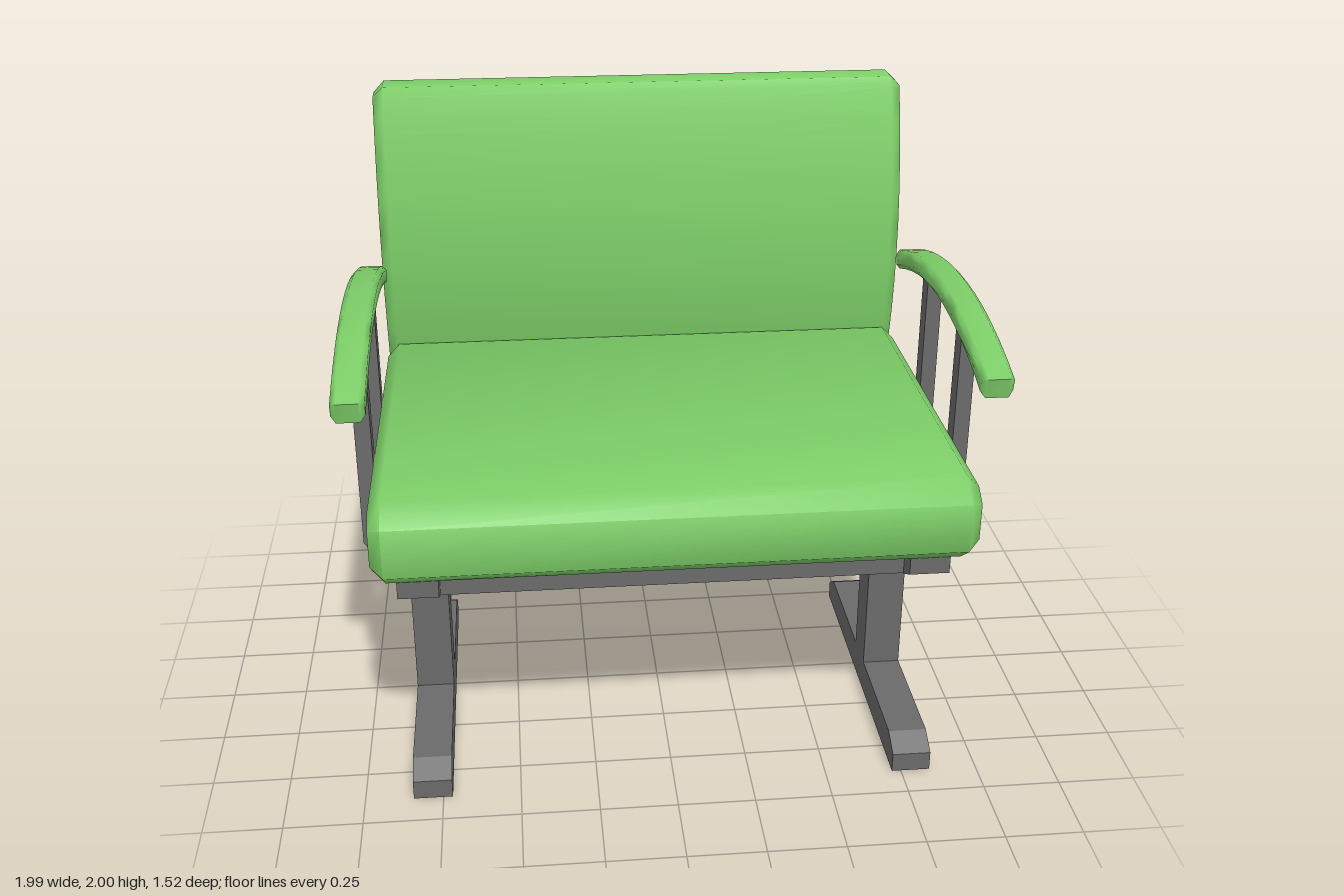
import * as THREE from 'three';
import { toCreasedNormals } from 'three/addons/utils/BufferGeometryUtils.js';

export function createModel() {
  const root = new THREE.Group();
  const green = new THREE.MeshStandardMaterial({ color: 0x7ed069 });
  green.name = 'green upholstery';
  const grey = new THREE.MeshStandardMaterial({ color: 0x6a6a6a });
  grey.name = 'grey metal';

  const add = (name, geometry, material) => {
    const mesh = new THREE.Mesh(geometry, material);
    mesh.name = name;
    root.add(mesh);
    return mesh;
  };

  const shapeOf = (points) => new THREE.Shape(points.map(([a, b]) => new THREE.Vector2(a, b)));

  // Extrudes a [z, y] side profile across x, between x0 and x1, with an optional bevelled rim
  const across = (points, x0, x1, bevel = 0, crease = 0) => {
    const depth = x1 - x0 - 2 * bevel;
    const geo = new THREE.ExtrudeGeometry(shapeOf(points), {
      depth, bevelEnabled: bevel > 0, bevelSize: bevel, bevelThickness: bevel,
      bevelOffset: -bevel, bevelSegments: 1,
    });
    geo.translate(0, 0, -depth / 2);
    geo.rotateY(-Math.PI / 2);
    geo.translate((x0 + x1) / 2, 0, 0);
    return crease ? toCreasedNormals(geo, crease) : geo;
  };

  const box = (name, x0, x1, y0, y1, z0, z1) => {
    const geo = new THREE.BoxGeometry(x1 - x0, y1 - y0, z1 - z0);
    geo.translate((x0 + x1) / 2, (y0 + y1) / 2, (z0 + z1) / 2);
    add(name, geo, grey);
  };

  // Seat cushion with softened edges
  add('seatCushion', across([
    [0.76, 0.89], [0.76, 1.05], [0.68, 1.105], [-0.52, 1.105],
    [-0.59, 1.05], [-0.59, 0.88], [-0.53, 0.83], [0.68, 0.83],
  ], -0.915, 0.915, 0.04, 1.05), green);

  // Curved backrest, bowed forward in the middle
  const steps = 10;
  const back = [];
  for (let i = 0; i <= steps; i++) {
    const t = i / steps * 2 - 1;
    back.push([-0.5 - 0.115 * t * t, 1.385 + 0.585 * t]);
  }
  back.push([-0.635, 2], [-0.74, 2]);
  for (let i = steps; i >= 0; i--) {
    const t = i / steps * 2 - 1;
    back.push([-0.635 - 0.122 * t * t, 1.385 + 0.585 * t]);
  }
  back.push([-0.74, 0.77], [-0.645, 0.77]);
  add('backrest', across(back, -0.915, 0.915, 0.035, 1.05), green);

  // Arched armrests
  const arm = [];
  for (let i = 0; i <= 12; i++) {
    const t = i / 6 - 1;
    arm.push([0.105 + 0.575 * t, 1.52 - 0.1 * t * t]);
  }
  for (let i = 12; i >= 0; i--) {
    const t = i / 6 - 1;
    arm.push([0.105 + 0.56 * t, 1.455 - 0.1 * t * t]);
  }
  const foot = [[0.64, 0], [0.64, 0.065], [0.565, 0.105], [-0.4, 0.105], [-0.47, 0.065], [-0.47, 0]];
  const bearer = [[0.675, 0.77], [0.675, 0.83], [-0.505, 0.83], [-0.505, 0.77], [-0.42, 0.73], [0.6, 0.73]];

  for (const [side, s] of [['left', 1], ['right', -1]]) {
    const span = (a, b) => (s > 0 ? [a, b] : [-b, -a]);
    add(side + 'Armrest', across(arm, ...span(0.895, 0.995), 0.015, 1.05), green);
    // Floor foot, upright and seat bearer
    add(side + 'Foot', across(foot, ...span(0.72, 0.845)), grey);
    box(side + 'Leg', ...span(0.72, 0.845), 0.1, 0.74, 0.02, 0.155);
    add(side + 'Bearer', across(bearer, ...span(0.72, 0.845)), grey);
  }

  // U-shaped straps running under the seat and up to the armrests
  const half = [[0.915, 1.455], [0.965, 1.455], [0.965, 0.79], [0.925, 0.73]];
  const strap = shapeOf([
    ...half, ...half.map(([x, y]) => [-x, y]).reverse(), [-0.915, 0.828], [0.915, 0.828],
  ]);
  for (const [name, z] of [['frontStrap', 0.29], ['rearStrap', -0.145]]) {
    const geo = new THREE.ExtrudeGeometry(strap, { depth: 0.065, bevelEnabled: false });
    geo.translate(0, 0, z);
    add(name, geo, grey);
  }

  // Cross rails between the bearers
  box('frontRail', -0.73, 0.73, 0.732, 0.829, 0.44, 0.6);
  box('middleRail', -0.73, 0.73, 0.732, 0.829, -0.09, 0.03);
  box('rearRail', -0.73, 0.73, 0.732, 0.829, -0.42, -0.27);

  return root;
}
